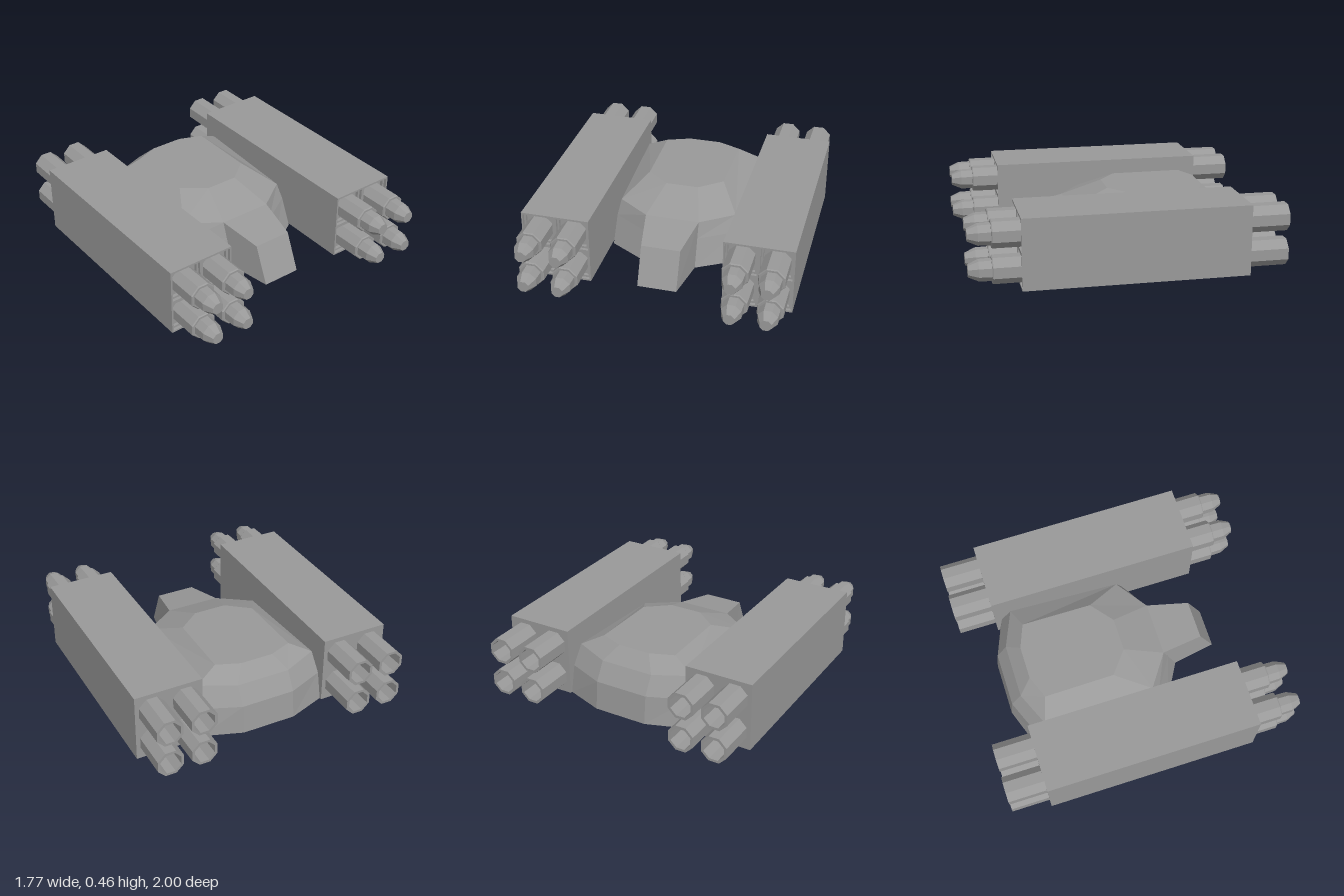
import * as THREE from 'three';

const grey = new THREE.MeshStandardMaterial({ color: 0x999999, flatShading: true });
grey.name = 'grey';

function add(parent, geometry, name, x = 0, y = 0, z = 0) {
  const mesh = new THREE.Mesh(geometry, grey);
  mesh.name = name;
  mesh.position.set(x, y, z);
  parent.add(mesh);
  return mesh;
}

// Closed solid from stacked rings; each ring lists its +x half from back to front
function loft(halfRings) {
  const rings = halfRings.map(h => [...h, ...h.map(([x, y, z]) => [-x, y, z]).reverse()]);
  const n = rings[0].length, pos = [];
  const tri = (a, b, c) => pos.push(...a, ...b, ...c);
  for (let k = 0; k < rings.length - 1; k++) {
    const a = rings[k], b = rings[k + 1];
    for (let i = 0; i < n; i++) {
      const j = (i + 1) % n;
      tri(a[i], b[i], a[j]);
      tri(b[i], b[j], a[j]);
    }
  }
  const low = rings[0], top = rings[rings.length - 1];
  for (let i = 1; i < n - 1; i++) {
    tri(low[0], low[i], low[i + 1]);
    tri(top[0], top[i + 1], top[i]);
  }
  const g = new THREE.BufferGeometry();
  g.setAttribute('position', new THREE.Float32BufferAttribute(pos, 3));
  g.computeVertexNormals();
  return g;
}

// Eight-sided turned part; profile gives [half width, distance], aimed along +z or -z
function turned(profile, dir) {
  const k = 1 / Math.cos(Math.PI / 8);
  const pts = profile.map(([r, d]) => new THREE.Vector2(r * k, d));
  return new THREE.LatheGeometry(pts, 8, Math.PI / 8).rotateX(dir * Math.PI / 2);
}

// Square plate with four square openings
const W = 0.225, H = 0.2275, CX = 0.1125, CY = 0.113;
function frame(half, depth) {
  const rect = (S, x, y, w, h) => new S([[-w, -h], [w, -h], [w, h], [-w, h]]
    .map(([a, b]) => new THREE.Vector2(x + a, y + b)));
  const shape = rect(THREE.Shape, 0, 0, W, H);
  for (const sx of [-1, 1]) for (const sy of [-1, 1])
    shape.holes.push(rect(THREE.Path, sx * CX, sy * CY, half, half));
  return new THREE.ExtrudeGeometry(shape, { depth, bevelEnabled: false });
}

export function createModel() {
  const model = new THREE.Group();
  model.name = 'missileCarrier';

  // Faceted central hull
  add(model, loft([
    [[0.18, 0, -0.82], [0.435, 0, -0.73], [0.425, 0, 0.23], [0.18, 0, 0.37]],
    [[0.18, 0.19, -0.8], [0.428, 0.19, -0.7], [0.415, 0.19, 0.16], [0.18, 0.19, 0.306]],
    [[0.18, 0.31, -0.73], [0.415, 0.32, -0.63], [0.395, 0.295, 0.12], [0.18, 0.295, 0.27]],
    [[0.11, 0.4, -0.64], [0.265, 0.4, -0.58], [0.26, 0.4, -0.11], [0.11, 0.4, 0.01]],
  ]), 'hull');

  // Tapered nose
  add(model, loft([
    [[0.18, 0, 0.37], [0.13, 0, 0.66]],
    [[0.18, 0.295, 0.27], [0.13, 0.245, 0.555]],
  ]), 'nose');

  const rim = frame(0.102, 0.02), ledge = frame(0.088, 0.02);
  const missile = turned([[0.083, 0], [0.083, 0.205], [0.078, 0.212], [0.065, 0.212],
    [0.063, 0.29], [0.036, 0.355], [0, 0.355]], 1);
  const nozzle = turned([[0.085, 0], [0.085, 0.255], [0.068, 0.255], [0.068, 0.03], [0, 0.03]], -1);

  // Launcher pods, each holding four missiles
  for (const side of [-1, 1]) {
    const pod = new THREE.Group();
    pod.name = side > 0 ? 'leftPod' : 'rightPod';
    pod.position.set(side * 0.66, H, 0);
    model.add(pod);
    add(pod, new THREE.BoxGeometry(2 * W, 2 * H, 1.39), 'podHousing', 0, 0, -0.05);
    add(pod, ledge, 'cellLedge', 0, 0, 0.645);
    add(pod, rim, 'cellRim', 0, 0, 0.665);
    for (const sx of [-1, 1]) for (const sy of [-1, 1]) {
      add(pod, missile, 'missile', sx * CX, sy * CY, 0.645);
      add(pod, nozzle, 'exhaustTube', sx * CX, sy * CY, -0.745);
    }
  }
  return model;
}
